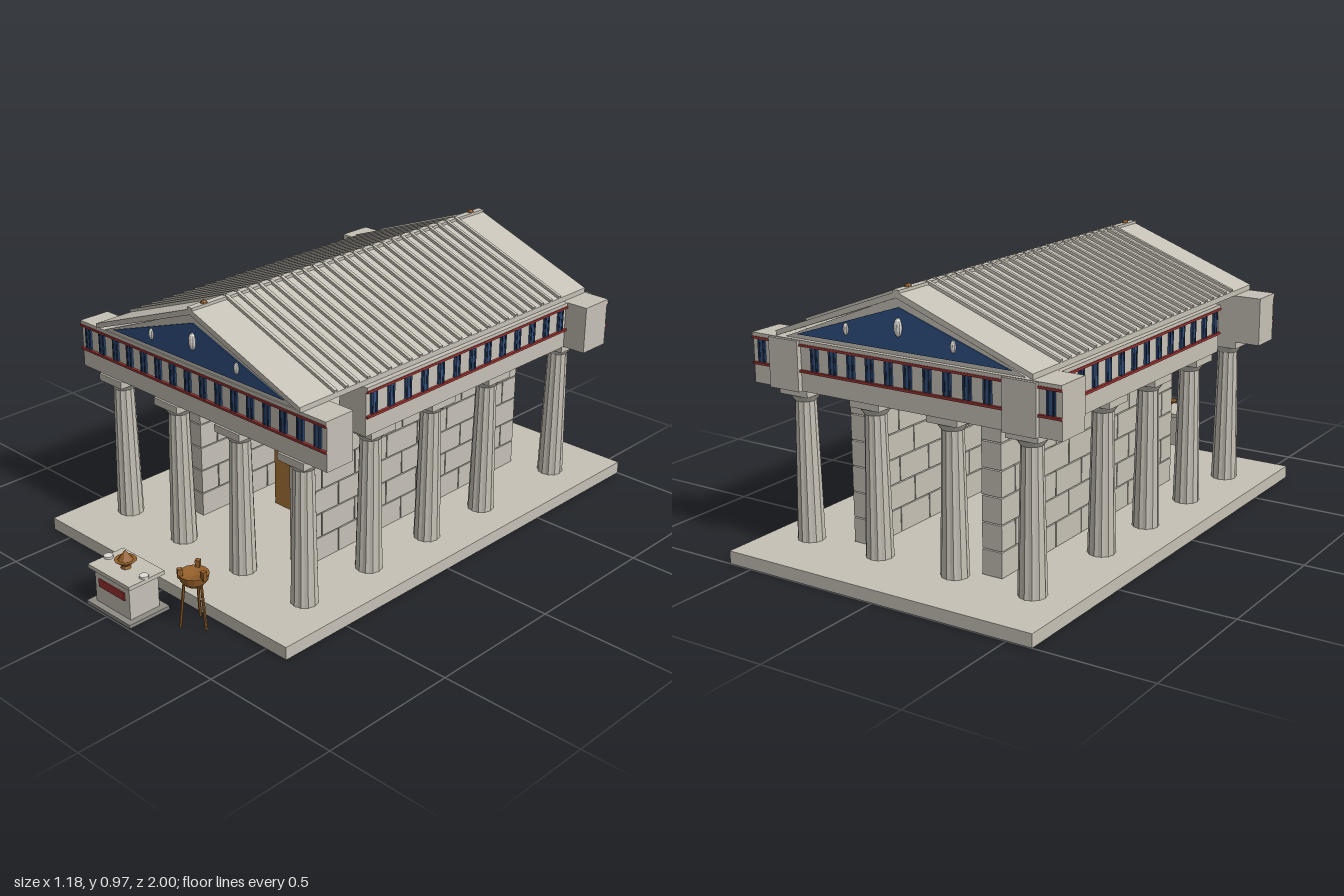
import * as THREE from 'three';

const mat = (name, color) => Object.assign(new THREE.MeshStandardMaterial({ color, flatShading: true }), { name });

export function createModel() {
  const stone = mat('stone', 0xc6c1b6);
  const marble = mat('paleMarble', 0xdcdad4);
  const blue = mat('paintedBlue', 0x2f5083);
  const dark = mat('darkGroove', 0x1b2638);
  const red = mat('paintedRed', 0x9c3432);
  const wood = mat('doorWood', 0xb07a38);
  const bronze = mat('bronze', 0x935f2a);
  const plinthGrey = mat('plinthGrey', 0x8f8c85);

  const model = new THREE.Group();
  model.name = 'temple';
  const group = (name, parent = model) => {
    const g = new THREE.Group();
    g.name = name;
    parent.add(g);
    return g;
  };
  const add = (parent, name, geo, m, x = 0, y = 0, z = 0) => {
    const mesh = new THREE.Mesh(geo, m);
    mesh.name = name;
    mesh.position.set(x, y, z);
    parent.add(mesh);
    return mesh;
  };
  // Box given by its limits on each axis
  const box = (parent, name, m, x0, x1, y0, y1, z0, z1) =>
    add(parent, name, new THREE.BoxGeometry(x1 - x0, y1 - y0, z1 - z0), m,
      (x0 + x1) / 2, (y0 + y1) / 2, (z0 + z1) / 2);
  // Outline in x and y, extruded from z0 to z1
  const prism = (parent, name, m, pts, z0, z1) => {
    const shape = new THREE.Shape(pts.map(([x, y]) => new THREE.Vector2(x, y)));
    return add(parent, name, new THREE.ExtrudeGeometry(shape, { depth: z1 - z0, bevelEnabled: false }), m, 0, 0, z0);
  };

  box(model, 'platform', stone, -0.59, 0.59, 0, 0.045, -1, 0.77);

  // Fluted columns: every other edge of the shaft is drawn in
  const shaftGeo = new THREE.CylinderGeometry(0.036, 0.047, 0.49, 24, 1);
  const p = shaftGeo.attributes.position;
  for (let i = 0; i < p.count; i++) {
    const step = Math.round(Math.atan2(p.getX(i), p.getZ(i)) / (Math.PI / 12));
    if (step % 2 !== 0) {
      p.setX(i, p.getX(i) * 0.93);
      p.setZ(i, p.getZ(i) * 0.93);
    }
  }
  const echinusGeo = new THREE.CylinderGeometry(0.055, 0.037, 0.026, 16);
  const abacusGeo = new THREE.BoxGeometry(0.116, 0.026, 0.116);
  const columns = group('columns');
  const column = (x, z) => {
    const c = group('column', columns);
    c.position.set(x, 0, z);
    add(c, 'shaft', shaftGeo, stone, 0, 0.288, 0);
    add(c, 'echinus', echinusGeo, stone, 0, 0.542, 0);
    add(c, 'abacus', abacusGeo, stone, 0, 0.567, 0);
  };
  for (const z of [0.54, -0.767]) for (const x of [-0.44, -0.15, 0.15, 0.44]) column(x, z);
  for (const z of [0.236, -0.06, -0.355]) for (const x of [-0.44, 0.44]) column(x, z);

  // Side walls of the inner chamber, in running bond
  const walls = group('chamberWalls');
  const rowH = 0.535 / 6, zBack = -0.72, zFront = 0.39, len = (zFront - zBack) / 7, gap = 0.002;
  for (const s of [-1, 1]) {
    for (let r = 0; r < 6; r++) {
      const y = 0.045 + r * rowH;
      for (let i = 0; i < 8; i++) {
        const a = Math.max(zBack, zBack + (i - (r % 2) / 2) * len);
        const b = Math.min(zFront, zBack + (i + 1 - (r % 2) / 2) * len);
        if (b - a < 0.01) continue;
        const xa = s * 0.2575;
        box(walls, 'wallBlock', stone, xa - 0.037, xa + 0.037, y + gap, y + rowH - gap, a + gap, b - gap);
      }
    }
  }

  // Double door with red lintel
  const door = group('door');
  for (const s of [-1, 1]) {
    box(door, 'doorLeaf', wood, s < 0 ? -0.11 : 0.002, s < 0 ? -0.002 : 0.11, 0.045, 0.49, 0.12, 0.14);
    for (const y of [0.27, 0.4]) add(door, 'doorStud', new THREE.SphereGeometry(0.008, 8, 6), bronze, s * 0.053, y, 0.142);
  }
  box(door, 'doorLintel', red, -0.11, 0.11, 0.488, 0.502, 0.115, 0.146);
  box(door, 'wallAboveDoor', stone, -0.11, 0.11, 0.502, 0.58, 0.115, 0.142);

  // Entablature whose outer face lies at local z = 0, facing +z
  const entablature = (name, width, depth, count, pitch) => {
    const g = group(name), h = width / 2;
    box(g, 'architrave', stone, -h, h, 0.58, 0.645, -depth, 0);
    box(g, 'frieze', stone, -h, h, 0.645, 0.735, -depth, 0);
    box(g, 'cornice', stone, -h, h, 0.735, 0.75, -depth, 0.006);
    box(g, 'lowerRedBand', red, -h, h, 0.644, 0.652, 0, 0.009);
    box(g, 'upperRedBand', red, -h, h, 0.73, 0.738, 0, 0.009);
    for (let i = 0; i < count; i++) {
      const x = (i - (count - 1) / 2) * pitch;
      box(g, 'triglyph', blue, x - 0.015, x + 0.015, 0.654, 0.729, 0, 0.006);
      for (const d of [-0.008, 0.008])
        box(g, 'triglyphGroove', dark, x + d - 0.003, x + d + 0.003, 0.654, 0.729, 0.004, 0.007);
    }
    return g;
  };
  entablature('frontEntablature', 1.18, 0.112, 16, 0.0737).position.z = 0.59;
  const back = entablature('backEntablature', 1.18, 0.125, 16, 0.0737);
  back.rotation.y = Math.PI;
  back.position.z = -0.838;
  for (const s of [-1, 1]) {
    const side = entablature(s > 0 ? 'leftEntablature' : 'rightEntablature', 1.04, 0.115, 13, 0.081);
    side.rotation.y = s * Math.PI / 2;
    side.position.set(s * 0.503, 0, -0.192);
    box(model, 'backCornerBlock', stone, s * 0.45 - 0.06, s * 0.45 + 0.06, 0.58, 0.748, -0.855, -0.72);
  }

  // Gables with painted field and figures
  const gable = (name, z, turn) => {
    const g = group(name);
    g.position.z = z;
    g.rotation.y = turn;
    prism(g, 'gableWall', stone, [[-0.46, 0.75], [0.46, 0.75], [0, 0.935]], -0.08, 0);
    prism(g, 'paintedField', blue, [[-0.41, 0.764], [0.41, 0.764], [0, 0.902]], 0, 0.004);
    for (const [x, y, r] of [[-0.205, 0.808, 0.02], [0, 0.84, 0.03], [0.205, 0.808, 0.02]])
      add(g, 'figure', new THREE.SphereGeometry(r, 10, 8), marble, x, y, 0.006).scale.set(0.5, 1, 0.4);
  };
  gable('frontGable', 0.592, 0);
  gable('backGable', -0.828, Math.PI);

  // Roof with rib tiles, ridge cap and ridge ornaments
  const roof = group('roof');
  prism(roof, 'roofSlabs', stone,
    [[0.49, 0.75], [0.49, 0.768], [0, 0.952], [-0.49, 0.768], [-0.49, 0.75], [0, 0.932]], -0.84, 0.605);
  const ribGeo = new THREE.BoxGeometry(0.523, 0.014, 0.012);
  for (let i = 0; i < 24; i++) {
    for (const s of [-1, 1]) {
      const rib = add(roof, 'roofRib', ribGeo, stone, s * 0.246, 0.863, -0.687 + i * 0.0495);
      rib.rotation.z = -s * Math.atan2(0.184, 0.49);
    }
  }
  box(roof, 'ridgeCap', stone, -0.012, 0.012, 0.94, 0.957, -0.84, 0.605);
  for (const z of [0.545, -0.78]) add(roof, 'ridgeOrnament', new THREE.SphereGeometry(0.012, 8, 6), bronze, 0, 0.956, z);

  // Altar with offering bowl
  const altar = group('altar');
  altar.position.z = 0.913;
  box(altar, 'altarPlinth', plinthGrey, -0.11, 0.11, 0, 0.013, -0.083, 0.083);
  box(altar, 'altarBody', stone, -0.087, 0.087, 0.013, 0.133, -0.06, 0.06);
  box(altar, 'altarTop', stone, -0.105, 0.105, 0.133, 0.147, -0.073, 0.073);
  box(altar, 'altarPanel', red, -0.065, 0.065, 0.075, 0.104, 0.058, 0.064);
  for (const s of [-1, 1]) add(altar, 'altarKnob', new THREE.CylinderGeometry(0.016, 0.016, 0.01, 12), marble, s * 0.09, 0.15, 0);
  add(altar, 'bowlFoot', new THREE.CylinderGeometry(0.012, 0.018, 0.012, 10), bronze, 0, 0.152, 0);
  add(altar, 'bowl', new THREE.CylinderGeometry(0.038, 0.014, 0.02, 12), bronze, 0, 0.167, 0);
  add(altar, 'bowlLid', new THREE.ConeGeometry(0.026, 0.035, 10), bronze, 0, 0.194, 0);

  // Three-legged bronze brazier
  const brazier = group('brazier');
  brazier.position.set(0.238, 0, 0.83);
  const bowlProfile = [[0, 0.145], [0.03, 0.15], [0.045, 0.167], [0.05, 0.19], [0.043, 0.19], [0, 0.18]];
  add(brazier, 'brazierBowl', new THREE.LatheGeometry(bowlProfile.map(([x, y]) => new THREE.Vector2(x, y)), 14), bronze);
  for (let i = 0; i < 3; i++) {
    const a = Math.PI / 2 + 0.5 + i * Math.PI * 2 / 3, c = Math.cos(a), s = Math.sin(a);
    const leg = new THREE.LineCurve3(new THREE.Vector3(c * 0.05, 0, s * 0.05), new THREE.Vector3(c * 0.032, 0.165, s * 0.032));
    add(brazier, 'brazierLeg', new THREE.TubeGeometry(leg, 1, 0.005, 6), bronze);
    add(brazier, 'brazierLug', new THREE.BoxGeometry(0.016, 0.032, 0.016), bronze, c * 0.045, 0.196, s * 0.045).rotation.y = -a;
  }
  return model;
}
